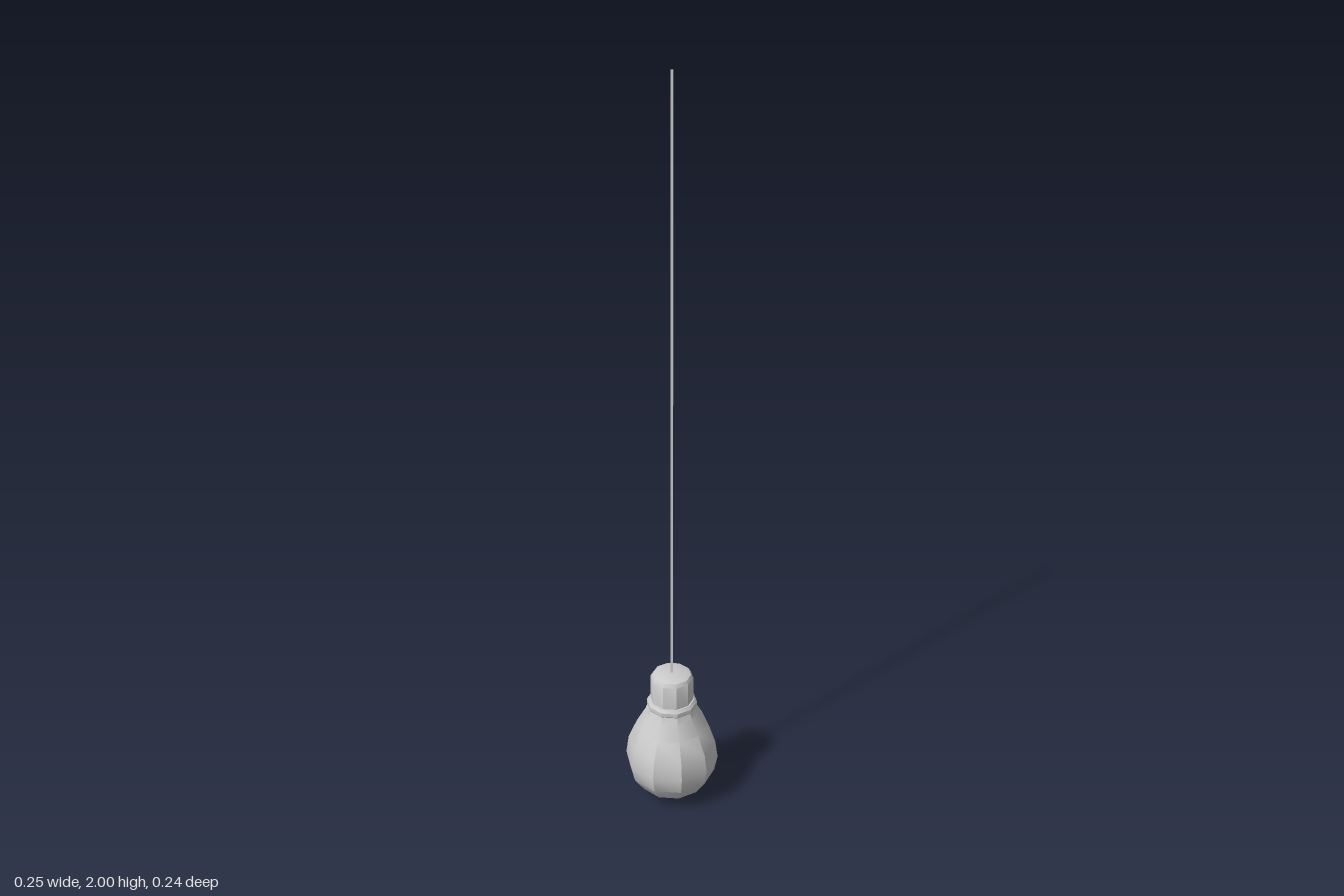
import * as THREE from 'three';
import { toCreasedNormals } from 'three/addons/utils/BufferGeometryUtils.js';

const SIDES = 10;

function addPart(group, name, geometry) {
  const material = new THREE.MeshStandardMaterial({ color: 0xcccccc });
  const mesh = new THREE.Mesh(geometry, material);
  mesh.name = name;
  group.add(mesh);
  return mesh;
}

// Ten-sided turned part with corners on the x axis; profile runs bottom to top
function turned(profile) {
  const points = profile.map(([r, y]) => new THREE.Vector2(r, y));
  const geometry = new THREE.LatheGeometry(points, SIDES, Math.PI / 2);
  return toCreasedNormals(geometry, 0.58);
}

export function createModel() {
  const group = new THREE.Group();
  group.name = 'hangingBulb';

  // Pear-shaped glass
  addPart(group, 'glassBulb', turned([
    [0, 0], [0.045, 0.007], [0.088, 0.035], [0.115, 0.075], [0.124, 0.12],
    [0.117, 0.17], [0.094, 0.225], [0.07, 0.268], [0.061, 0.295],
  ]));

  // Rim between the glass and the socket
  addPart(group, 'collar', turned([
    [0, 0.278], [0.061, 0.278], [0.067, 0.286], [0.067, 0.297], [0.061, 0.305], [0, 0.305],
  ]));

  // Socket with a bevelled top
  addPart(group, 'socket', turned([
    [0, 0.3], [0.057, 0.3], [0.057, 0.372], [0.051, 0.382], [0.038, 0.387], [0, 0.387],
  ]));

  // Thin square cord
  const cord = addPart(group, 'cord', new THREE.BoxGeometry(0.006, 1.62, 0.006));
  cord.position.y = 1.19;

  return group;
}
